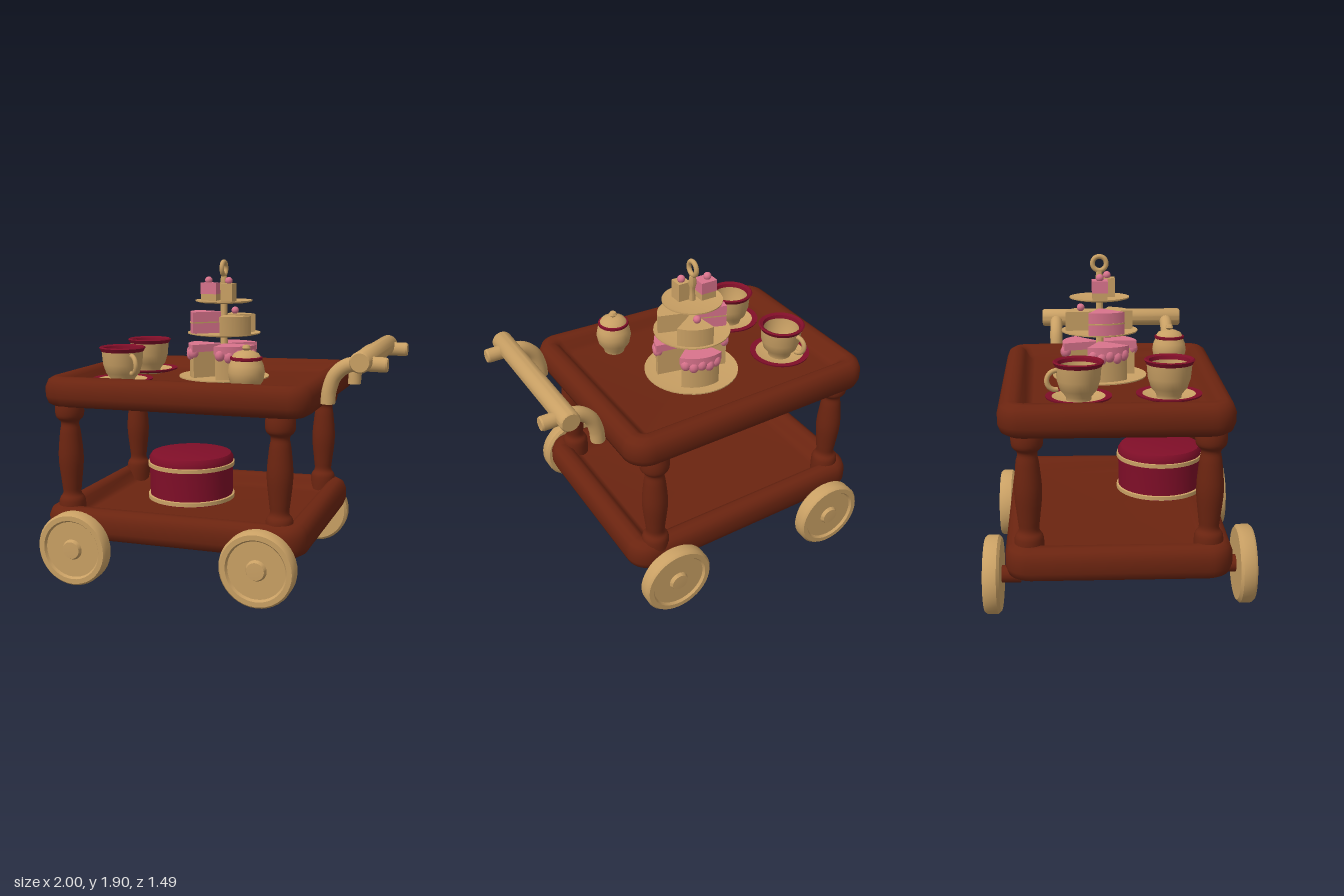
import * as THREE from 'three';
import { toCreasedNormals } from 'three/addons/utils/BufferGeometryUtils.js';

const material = (name, color) => {
  const m = new THREE.MeshStandardMaterial({ color });
  m.name = name;
  return m;
};
const wood = material('dark wood', 0x6b2410);
const cream = material('cream', 0xc9a064);
const crimson = material('crimson', 0x800e28);
const pink = material('pink', 0xd9738c);

function add(parent, name, geo, mat, x = 0, y = 0, z = 0) {
  const mesh = new THREE.Mesh(geo, mat);
  mesh.name = name;
  mesh.position.set(x, y, z);
  parent.add(mesh);
  return mesh;
}

function group(parent, name, x = 0, y = 0, z = 0) {
  const g = new THREE.Group();
  g.name = name;
  g.position.set(x, y, z);
  parent.add(g);
  return g;
}

// Turned shape from [radius, height] pairs, listed bottom to top on the outside
const lathe = (pts, crease = 0.7, seg = 40) =>
  toCreasedNormals(new THREE.LatheGeometry(pts.map(p => new THREE.Vector2(...p)), seg), crease);

// Smooth turned shape through a few profile points
const turned = pts => {
  const curve = new THREE.SplineCurve(pts.map(p => new THREE.Vector2(...p)));
  return new THREE.LatheGeometry(curve.getPoints(36), 24);
};

// Rounded, slightly skewed tray made of inset outline loops
function trayGeometry(corners, height) {
  const R = 0.14, steps = 8, pos = [], index = [];
  const loops = [[0.05, 0], [0.015, 0.02], [0, 0.06], [0, height - 0.06], [0.018, height - 0.018],
    [0.05, height], [0.09, height], [0.12, height - 0.02], [0.145, 0.115], [0.18, 0.1]];
  const n = 4 * (steps + 1);
  const push = (x, y, z) => pos.push(x, y + x * 0.0125, z);
  for (const [inset, y] of loops) {
    const r = Math.max(R - inset, 0.035);
    corners.forEach(([cx, cz], k) => {
      const sx = Math.sign(cx), sz = Math.sign(cz);
      for (let i = 0; i <= steps; i++) {
        const a = (k + i / steps) * Math.PI / 2;
        push(cx - sx * (inset + r) + r * Math.cos(a), y, cz - sz * (inset + r) + r * Math.sin(a));
      }
    });
  }
  for (let l = 0; l < loops.length - 1; l++) {
    for (let i = 0; i < n; i++) {
      const a = l * n + i, b = l * n + (i + 1) % n;
      index.push(a, a + n, b, b, a + n, b + n);
    }
  }
  // Underside and tray floor
  const bottom = loops.length * n, last = (loops.length - 1) * n;
  push(-0.19, 0, -0.02);
  push(-0.19, 0.1, -0.02);
  for (let i = 0; i < n; i++) {
    const j = (i + 1) % n;
    index.push(bottom, i, j, bottom + 1, last + j, last + i);
  }
  const geo = new THREE.BufferGeometry();
  geo.setAttribute('position', new THREE.Float32BufferAttribute(pos, 3));
  geo.setIndex(index);
  geo.computeVertexNormals();
  return geo;
}

// Cake slice: apex at the origin, pointing along angle (degrees, towards -z)
function slice(radius, height, angle, spread) {
  const a = THREE.MathUtils.degToRad(angle - spread / 2), b = THREE.MathUtils.degToRad(angle + spread / 2);
  const s = new THREE.Shape();
  s.moveTo(0, 0);
  s.lineTo(radius * Math.cos(a), radius * Math.sin(a));
  s.absarc(0, 0, radius, a, b, false);
  s.lineTo(0, 0);
  const geo = new THREE.ExtrudeGeometry(s, { depth: height, bevelEnabled: false, curveSegments: 12 });
  return toCreasedNormals(geo.rotateX(-Math.PI / 2), 0.6);
}

function buildWheel(parent, x, y, z, side) {
  const g = group(parent, 'wheel', x, y, z);
  g.rotation.x = side * Math.PI / 2;
  add(g, 'wheelDisc', lathe([[0, -0.045], [0.2, -0.045], [0.216, -0.03], [0.216, 0.03], [0.204, 0.045],
    [0.175, 0.045], [0.165, 0.03], [0.06, 0.03], [0.05, 0.05], [0, 0.052]]), cream);
  add(g, 'axle', new THREE.CylinderGeometry(0.048, 0.048, 0.12, 16), wood, 0, -0.09, 0);
}

function buildCup(parent, x, z, angle) {
  const g = group(parent, 'teacup', x, 0, z);
  g.rotation.y = angle;
  add(g, 'saucer', lathe([[0, 1.178], [0.08, 1.178], [0.155, 1.2], [0.155, 1.21], [0.08, 1.19], [0, 1.19]]), cream);
  add(g, 'saucerRim', lathe([[0.145, 1.193], [0.178, 1.205], [0.18, 1.214], [0.145, 1.211]]), crimson);
  add(g, 'cupBowl', lathe([[0, 1.19], [0.068, 1.19], [0.07, 1.21], [0.1, 1.245], [0.117, 1.3], [0.124, 1.38],
    [0.108, 1.38], [0.1, 1.3], [0.065, 1.23], [0, 1.225]]), cream);
  add(g, 'cupRim', lathe([[0.126, 1.375], [0.138, 1.397], [0.13, 1.403], [0.112, 1.395], [0.106, 1.375]]), crimson);
  const loop = new THREE.TorusGeometry(0.052, 0.014, 10, 20, Math.PI * 1.1).rotateZ(-Math.PI * 0.55);
  add(g, 'cupHandle', loop, cream, 0.123, 1.305, 0);
}

function buildCakeStand(parent) {
  const g = group(parent, 'cakeStand', -0.085, 0, -0.095);
  [[0.278, 1.19], [0.223, 1.457], [0.174, 1.652]].forEach(([r, y]) =>
    add(g, 'standPlate', lathe([[0, y], [r * 0.85, y], [r, y + 0.008], [r, y + 0.015], [r * 0.85, y + 0.01], [0, y + 0.01]]), cream));
  add(g, 'standPole', lathe([[0.035, 1.19], [0.024, 1.23], [0.021, 1.64], [0.016, 1.7], [0.016, 1.74],
    [0.024, 1.765], [0.018, 1.81], [0, 1.815]]), cream);
  add(g, 'standRing', new THREE.TorusGeometry(0.04, 0.014, 12, 32).rotateY(Math.PI / 2), cream, 0, 1.857, 0);

  // Bottom tier: iced slices with drips
  [[195, 65], [-48, 75], [75, 65]].forEach(([angle, spread]) => {
    const s = group(g, 'icedSlice', 0, 1.2, 0);
    add(s, 'sponge', slice(0.21, 0.16, angle, spread), cream);
    add(s, 'icing', slice(0.22, 0.045, angle, spread + 4), pink, 0, 0.157, 0);
    for (let i = -2; i <= 2; i++) {
      const a = THREE.MathUtils.degToRad(angle + i * spread * 0.2);
      const drip = add(s, 'icingDrip', new THREE.SphereGeometry(0.032, 12, 10), pink,
        0.2 * Math.cos(a), 0.15 - 0.012 * (i & 1), -0.2 * Math.sin(a));
      drip.scale.y = 1.2;
    }
  });

  // Middle tier: one layered pink slice and two plain slices with berries
  add(g, 'pinkSliceLower', slice(0.205, 0.062, 192, 62), pink, 0, 1.467, 0);
  add(g, 'sliceFilling', slice(0.208, 0.008, 192, 62), cream, 0, 1.529, 0);
  add(g, 'pinkSliceUpper', slice(0.205, 0.06, 192, 62), pink, 0, 1.537, 0);
  for (const [angle, d] of [[-48, 0], [65, 0.11]]) {
    add(g, 'plainSlice', slice(0.2, 0.11, angle, 62), cream, 0, 1.467, 0);
    if (d) add(g, 'berry', new THREE.SphereGeometry(0.023, 14, 10), pink, 0.035, 1.597, -d);
  }

  // Top tier: small cakes with berries
  const cakes = group(g, 'smallCakes', 0, 1.662, 0);
  add(cakes, 'pinkCakeBase', new THREE.BoxGeometry(0.095, 0.045, 0.085), cream, -0.085, 0.022, 0);
  add(cakes, 'pinkCakeIcing', new THREE.BoxGeometry(0.1, 0.068, 0.09), pink, -0.085, 0.074, 0);
  add(cakes, 'plainCake', new THREE.BoxGeometry(0.075, 0.108, 0.08), cream, 0.045, 0.054, 0.05);
  for (const [x, z] of [[-0.098, 0], [0.047, 0.045]])
    add(cakes, 'berry', new THREE.SphereGeometry(0.023, 14, 10), pink, x, 0.122, z);
}

export function createModel() {
  const model = new THREE.Group();
  model.name = 'teaTrolley';

  // Trays, corners in order of growing angle from +x to +z
  add(model, 'upperTray', trayGeometry([[0.628, 0.62], [-1, 0.595], [-1, -0.64], [0.628, -0.685]], 0.175), wood, 0, 1.078, 0);
  add(model, 'lowerTray', trayGeometry([[0.61, 0.615], [-1, 0.6], [-1, -0.62], [0.61, -0.66]], 0.185), wood, 0, 0.29, 0);

  // Turned posts
  const post = turned([[0.08, 0.38], [0.078, 0.49], [0.055, 0.535], [0.06, 0.6], [0.074, 0.75],
    [0.062, 0.9], [0.053, 0.965], [0.08, 1.0], [0.085, 1.05], [0.075, 1.11]]);
  for (const [x, z] of [[-0.857, 0.47], [0.443, 0.49], [-0.857, -0.49], [0.443, -0.575]])
    add(model, 'post', post, wood, x, 0, z);

  // Wheels
  buildWheel(model, -0.735, 0.266, 0.686, 1);
  buildWheel(model, 0.377, 0.27, 0.686, 1);
  buildWheel(model, -0.735, 0.222, -0.698, -1);
  buildWheel(model, 0.377, 0.222, -0.698, -1);

  // Push handle
  const handle = group(model, 'pushHandle');
  const path = new THREE.CatmullRomCurve3([[0.678, 1.15], [0.684, 1.22], [0.715, 1.305], [0.78, 1.36], [0.86, 1.372], [0.99, 1.372]]
    .map(([x, y]) => new THREE.Vector3(x, y, 0)));
  for (const z of [0.378, -0.372]) {
    add(handle, 'handleArm', new THREE.TubeGeometry(path, 32, 0.041, 16), cream, 0, 0, z);
    add(handle, 'armFoot', new THREE.CylinderGeometry(0.041, 0.041, 0.01, 16), cream, 0.678, 1.152, z);
    add(handle, 'armTip', new THREE.CylinderGeometry(0.036, 0.041, 0.012, 16).rotateZ(-Math.PI / 2), cream, 0.993, 1.372, z);
  }
  add(handle, 'handleBar', lathe([[0, -0.472], [0.05, -0.472], [0.058, -0.462], [0.058, 0.462], [0.05, 0.472], [0, 0.472]])
    .rotateX(Math.PI / 2), cream, 0.865, 1.39, 0.005);

  // Round tin on the lower tray
  const tin = group(model, 'cakeTin', -0.168, 0, 0.26);
  add(tin, 'tinBody', lathe([[0, 0.515], [0.245, 0.515], [0.248, 0.735], [0.25, 0.765], [0.235, 0.788], [0.2, 0.795], [0, 0.797]]), crimson);
  for (const y of [0.532, 0.728])
    add(tin, 'tinBand', lathe([[0.24, y - 0.015], [0.257, y - 0.011], [0.257, y + 0.011], [0.24, y + 0.015]]), cream);

  // Tea things
  buildCup(model, -0.64, -0.22, 1.85);
  buildCup(model, -0.6, 0.27, -0.68);
  const bowl = group(model, 'sugarBowl', 0.2, 0, 0.345);
  add(bowl, 'bowlBody', lathe([[0, 1.178], [0.06, 1.178], [0.065, 1.2], [0.095, 1.245], [0.105, 1.295], [0.098, 1.335], [0.082, 1.37]]), cream);
  add(bowl, 'bowlRim', lathe([[0.08, 1.36], [0.091, 1.366], [0.091, 1.38], [0.07, 1.385]]), crimson);
  add(bowl, 'bowlLid', lathe([[0.082, 1.381], [0.07, 1.4], [0.04, 1.414], [0.014, 1.418], [0.025, 1.43], [0.018, 1.446], [0, 1.45]]), cream);

  buildCakeStand(model);
  return model;
}
